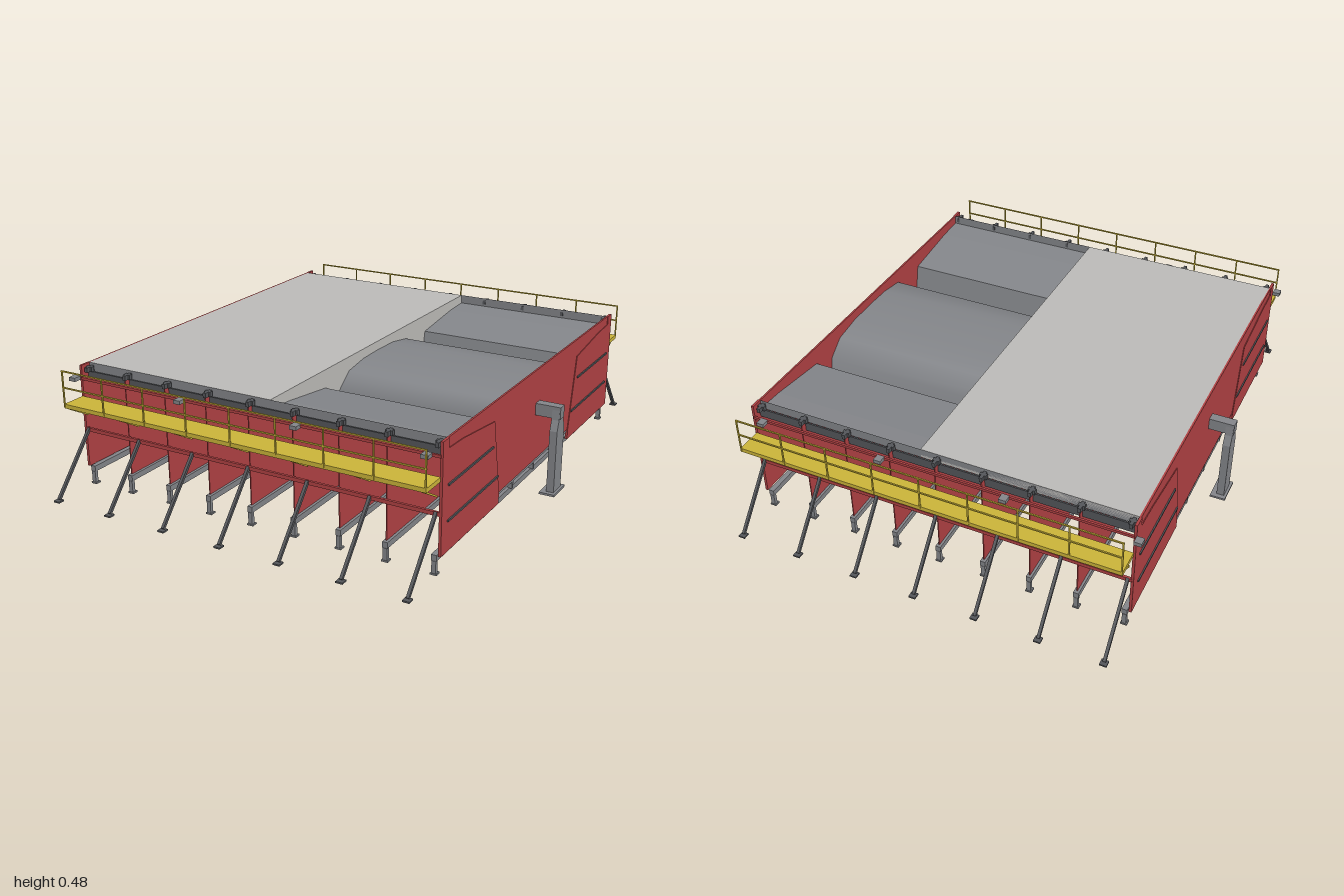
import * as THREE from 'three';

const mat = (name, color, side = THREE.FrontSide) => {
  const m = new THREE.MeshStandardMaterial({ color, side });
  m.name = name;
  return m;
};

export function createModel() {
  const root = new THREE.Group();
  root.name = 'beamCastingMould';
  const concrete = mat('concrete', 0xbebdba);
  const steel = mat('steel', 0x85878b);
  const sheet = mat('steelSheet', 0x85878b, THREE.DoubleSide);
  const dark = mat('darkSteel', 0x55575b);
  const red = mat('redPaint', 0xb24244);
  const yellow = mat('yellowPaint', 0xcdb63a);

  const HALF = 0.735;                                   // half length of the mould along x
  const group = (name) => {
    const g = new THREE.Group();
    g.name = name;
    root.add(g);
    return g;
  };
  const add = (parent, name, geometry, material) => {
    const m = new THREE.Mesh(geometry, material);
    m.name = name;
    parent.add(m);
    return m;
  };
  const box = (parent, name, material, w, h, d, x, y, z) => {
    const m = add(parent, name, new THREE.BoxGeometry(w, h, d), material);
    m.position.set(x, y, z);
    return m;
  };
  // square bar between two points
  const bar = (parent, name, material, a, b, t) => {
    const p = new THREE.Vector3(...a), q = new THREE.Vector3(...b);
    const m = add(parent, name, new THREE.BoxGeometry(t, t, p.distanceTo(q)), material);
    m.position.copy(p).add(q).multiplyScalar(0.5);
    m.lookAt(q);
    return m;
  };
  // plate cut to a (z, y) outline, running from x0 to x1
  const slab = (parent, name, material, pts, x0, x1) => {
    const shape = new THREE.Shape(pts.map(([z, y]) => new THREE.Vector2(z, y)));
    const g = new THREE.ExtrudeGeometry(shape, { depth: x1 - x0, bevelEnabled: false });
    g.rotateY(-Math.PI / 2).translate(x1, 0, 0);
    return add(parent, name, g, material);
  };
  // thin sheet following a (z, y) profile along the whole mould
  const ribbon = (parent, name, pts, smooth) => {
    const pos = [], idx = [];
    pts.forEach(([z, y]) => pos.push(-HALF, y, z, HALF, y, z));
    for (let i = 0; i < pts.length - 1; i++) {
      const a = i * 2;
      idx.push(a, a + 2, a + 1, a + 1, a + 2, a + 3);
    }
    let g = new THREE.BufferGeometry();
    g.setAttribute('position', new THREE.Float32BufferAttribute(pos, 3));
    g.setIndex(idx);
    if (!smooth) g = g.toNonIndexed();
    g.computeVertexNormals();
    return add(parent, name, g, sheet);
  };
  const flip = (pts) => pts.map(([z, y]) => [-z, y]).reverse();

  // mould lining: two wings with steep walls and a rounded core between them
  const wing = [[0.34, 0.11], [0.4, 0.4], [0.65, 0.43], [0.757, 0.435], [0.757, 0.47]];
  const halfCore = [[0, 0.435], [0.12, 0.432], [0.23, 0.415], [0.3, 0.36], [0.338, 0.112]];
  const core = [...flip(halfCore).slice(0, -1), ...halfCore];
  const lining = group('mouldLining');
  ribbon(lining, 'frontWing', wing);
  ribbon(lining, 'backWing', flip(wing));
  ribbon(lining, 'coreForm', core, true);
  box(lining, 'bottomPlate', steel, HALF * 2, 0.012, 0.68, 0, 0.104, 0);

  // cast concrete filling part of the length
  slab(root, 'concreteBeam', concrete, [...flip(wing), ...core, ...wing], -HALF + 0.002, 0.07);

  // end walls
  const endSide = [[0.34, 0.07], [0.8, 0.07], [0.8, 0.47], [0.757, 0.47], [0.757, 0.435],
    [0.65, 0.43], [0.4, 0.4], [0.34, 0.11]];
  for (const s of [-1, 1]) {
    const end = group(s > 0 ? 'leftEndWall' : 'rightEndWall');
    const range = (a, b) => (s > 0 ? [a, b] : [-b, -a]);
    slab(end, 'bulkhead', red, [...flip(wing), ...wing], ...range(0.731, 0.738));
    slab(end, 'frontEndPanel', red, endSide, ...range(0.731, 0.741));
    slab(end, 'backEndPanel', red, flip(endSide), ...range(0.731, 0.741));
    for (const f of [-1, 1]) {
      box(end, 'upperStiffener', dark, 0.008, 0.007, 0.35, s * 0.742, 0.31, f * 0.585);
      box(end, 'lowerStiffener', dark, 0.008, 0.007, 0.4, s * 0.742, 0.183, f * 0.56);
    }

    // bracket column at each end
    const column = group(s > 0 ? 'leftColumn' : 'rightColumn');
    box(column, 'columnFoot', steel, 0.06, 0.008, 0.11, s * 0.812, 0.004, 0);
    slab(column, 'columnPost', steel, [[-0.036, 0.006], [0.036, 0.006], [0.036, 0.25], [0.022, 0.29],
      [0.018, 0.34], [-0.018, 0.34], [-0.022, 0.29], [-0.036, 0.25]], ...range(0.803, 0.832));
    box(column, 'columnArm', steel, 0.1, 0.046, 0.038, s * 0.785, 0.317, 0);
  }

  // ribs, cross beams and feet
  const fin = [[0.34, 0.075], [0.79, 0.075], [0.79, 0.45], [0.762, 0.45], [0.762, 0.43],
    [0.65, 0.424], [0.406, 0.394], [0.345, 0.105]];
  const frame = group('baseFrame');
  const ribs = group('ribs');
  for (let i = -4; i <= 4; i++) {
    const x = i * 0.179;
    box(frame, 'crossBeam', steel, 0.02, 0.022, 1.6, x, 0.062, 0);
    for (const s of [-1, 1]) {
      box(frame, 'beamFoot', steel, 0.016, 0.05, 0.014, x, 0.025, s * 0.793);
      box(frame, 'footPad', steel, 0.024, 0.006, 0.024, x, 0.003, s * 0.79);
      if (Math.abs(i) < 4) slab(ribs, 'rib', red, s > 0 ? fin : flip(fin), x - 0.002, x + 0.002);
      box(ribs, 'ribClamp', dark, 0.012, 0.018, 0.04, x, 0.452, s * 0.775);
      box(ribs, 'clampHead', dark, 0.026, 0.018, 0.014, x, 0.452, s * 0.772);
    }
  }
  for (const z of [-0.2, 0, 0.2]) box(frame, 'longBeam', steel, HALF * 2, 0.032, 0.01, 0, 0.086, z);

  // walkway, railing and props along both sides
  for (const s of [-1, 1]) {
    const side = group(s > 0 ? 'frontWalkway' : 'backWalkway');
    box(side, 'upperWaler', red, HALF * 2, 0.01, 0.008, 0, 0.42, s * 0.8);
    box(side, 'lowerWaler', red, HALF * 2, 0.014, 0.01, 0, 0.22, s * 0.797);
    box(side, 'edgeChannel', dark, HALF * 2, 0.035, 0.006, 0, 0.422, s * 0.765);
    box(side, 'deck', yellow, HALF * 2, 0.016, 0.098, 0, 0.343, s * 0.851);
    for (const y of [0.478, 0.415]) box(side, 'handrail', yellow, HALF * 2, 0.005, 0.005, 0, y, s * 0.9);
    for (let i = -4; i <= 4; i++) {
      box(side, 'railPost', yellow, 0.005, 0.14, 0.005, i * 0.183, 0.41, s * 0.9);
    }
    for (const x of [-0.755, -0.275, 0.205, 0.69]) {
      box(side, 'vibrator', steel, 0.028, 0.014, 0.03, x, 0.42, s * 0.815);
    }
    for (let i = -3; i <= 3; i++) {
      const x = i * 0.24;
      bar(side, 'deckBracket', yellow, [x, 0.335, s * 0.895], [x, 0.28, s * 0.798], 0.006);
      bar(side, 'prop', dark, [x, 0.225, s * 0.798], [x, 0.008, s * 0.985], 0.011);
      box(side, 'propFoot', dark, 0.026, 0.006, 0.026, x, 0.003, s * 0.987);
    }
  }
  return root;
}
